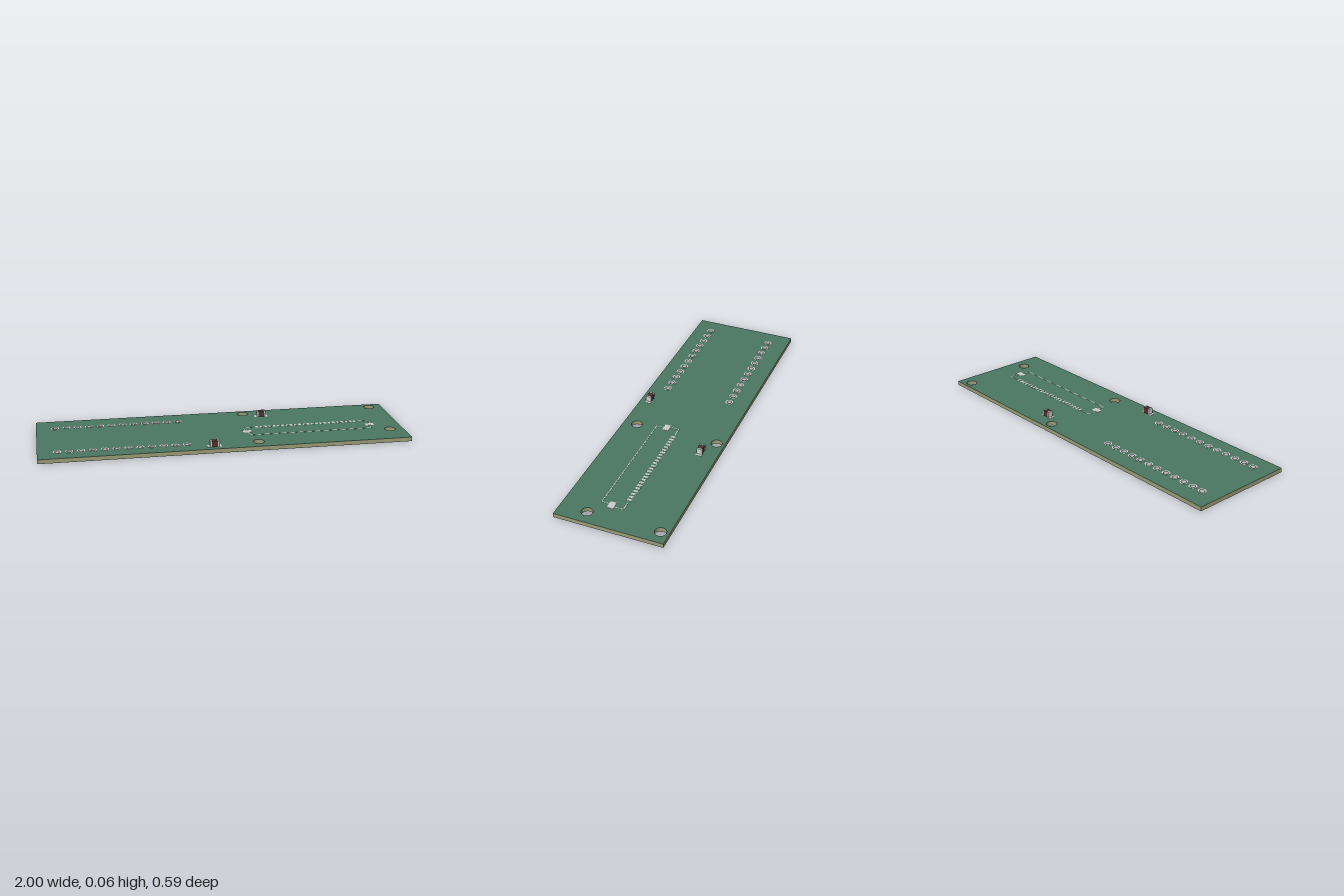
import * as THREE from 'three';

const MASK = new THREE.MeshStandardMaterial({ color: 0x4a7662 });
const CORE = new THREE.MeshStandardMaterial({ color: 0x9c9c78 });
const METAL = new THREE.MeshStandardMaterial({ color: 0xcccccc });
const SILK = new THREE.MeshStandardMaterial({ color: 0xd8d8d8 });
const CERAMIC = new THREE.MeshStandardMaterial({ color: 0x4a3430 });

const HALF_DEPTH = 0.293;
const BOTTOM = 0.002, TOP = 0.025, SKIN = 0.001;

// Mounting holes [x, z] and the two rows of header pads
const MOUNTS = [[0.17, -0.247], [0.925, -0.247], [0.17, 0.217], [0.925, 0.144]];
const MOUNT_R = 0.03, PAD_R = 0.022, DRILL_R = 0.014;
const PADS = [];
for (const z of [-0.177, 0.196]) {
  for (let i = 0; i < 12; i++) PADS.push([-0.896 + i * 0.062, z]);
}

function add(parent, name, geometry, material) {
  const mesh = new THREE.Mesh(geometry, material);
  mesh.name = name;
  parent.add(mesh);
  return mesh;
}

function group(parent, name) {
  const g = new THREE.Group();
  g.name = name;
  parent.add(g);
  return g;
}

function box(parent, name, material, w, h, d, x, y, z) {
  const mesh = add(parent, name, new THREE.BoxGeometry(w, h, d), material);
  mesh.position.set(x, y, z);
  return mesh;
}

function circlePath(x, z, r) {
  return new THREE.Path().absarc(x, -z, r, 0, Math.PI * 2, true);
}

// Extrude a plan shape upward from y = base
function slab(shape, base, height) {
  const geometry = new THREE.ExtrudeGeometry(shape, { depth: height, bevelEnabled: false, curveSegments: 14 });
  return geometry.rotateX(-Math.PI / 2).translate(0, base, 0);
}

function boardShape() {
  const s = new THREE.Shape();
  s.moveTo(-1, -HALF_DEPTH);
  s.lineTo(1, -HALF_DEPTH);
  s.lineTo(1, HALF_DEPTH);
  s.lineTo(-1, HALF_DEPTH);
  s.closePath();
  for (const [x, z] of MOUNTS) s.holes.push(circlePath(x, z, MOUNT_R));
  for (const [x, z] of PADS) s.holes.push(circlePath(x, z, DRILL_R + 0.001));
  return s;
}

// Printed line between two plan points, axis aligned
function printedLine(parent, x0, z0, x1, z1, y) {
  const t = 0.004;
  box(parent, 'printedLine', SILK, Math.abs(x1 - x0) + t, 0.0008, Math.abs(z1 - z0) + t,
    (x0 + x1) / 2, y, (z0 + z1) / 2);
}

function chipComponent(parent, x, z) {
  const g = group(parent, 'chipComponent');
  const h = 0.032, y = TOP + h / 2;
  box(g, 'ceramicBody', CERAMIC, 0.032, h - 0.001, 0.029, 0, y, 0);
  for (const side of [-1, 1]) {
    box(g, 'endCap', METAL, 0.008, h, 0.03, side * 0.02, y, 0);
    box(g, 'solderPad', METAL, 0.022, 0.001, 0.034, side * 0.027, TOP + 0.0005, 0);
  }
  g.position.set(x, 0, z);
}

export function createModel() {
  const model = new THREE.Group();
  model.name = 'circuitBoard';

  // Laminated board: core with a coloured skin on each face
  const board = group(model, 'board');
  const plan = boardShape();
  add(board, 'core', slab(plan, BOTTOM + SKIN, TOP - BOTTOM - 2 * SKIN), CORE);
  add(board, 'topMask', slab(plan, TOP - SKIN, SKIN), MASK);
  add(board, 'bottomMask', slab(plan, BOTTOM, SKIN), MASK);

  // Plated header holes: a ring on each face joined by a barrel
  const header = group(model, 'headerPads');
  const ring = new THREE.Shape().absarc(0, 0, PAD_R, 0, Math.PI * 2, false);
  ring.holes.push(circlePath(0, 0, DRILL_R));
  const barrel = new THREE.Shape().absarc(0, 0, DRILL_R + 0.001, 0, Math.PI * 2, false);
  barrel.holes.push(circlePath(0, 0, DRILL_R));
  const topRing = slab(ring, TOP, 0.0008);
  const bottomRing = slab(ring, BOTTOM - 0.0008, 0.0008);
  const sleeve = slab(barrel, BOTTOM, TOP - BOTTOM);
  for (const [x, z] of PADS) {
    add(header, 'topRing', topRing, METAL).position.set(x, 0, z);
    add(header, 'bottomRing', bottomRing, METAL).position.set(x, 0, z);
    add(header, 'platedBarrel', sleeve, METAL).position.set(x, 0, z);
  }

  // Ribbon connector footprint: contact row, anchor pads and outline
  const ribbon = group(model, 'ribbonFootprint');
  const cx = 0.487, lineY = TOP + 0.0004;
  for (let i = 0; i < 24; i++) {
    box(ribbon, 'contactPad', METAL, 0.014, 0.001, 0.024, cx + (i - 11.5) * 0.0244, TOP + 0.0005, -0.012);
  }
  for (const s of [-1, 1]) {
    box(ribbon, 'anchorPad', METAL, 0.048, 0.001, 0.033, cx + s * 0.348, TOP + 0.0005, 0.053);
    printedLine(ribbon, cx + s * 0.357, -0.013, cx + s * 0.305, -0.013, lineY);
    printedLine(ribbon, cx + s * 0.357, -0.013, cx + s * 0.357, 0.036, lineY);
    printedLine(ribbon, cx + s * 0.342, 0.07, cx + s * 0.342, 0.11, lineY);
  }
  printedLine(ribbon, cx - 0.342, 0.11, cx + 0.342, 0.11, lineY);

  // Module outline printed underneath, around the header rows
  const outline = group(model, 'undersideOutline');
  const x0 = -0.98, x1 = -0.19, z0 = -0.234, z1 = 0.253, under = BOTTOM - 0.0004;
  for (const z of [z0, z1]) printedLine(outline, x0, z, x1, z, under);
  for (const x of [x0, x1]) printedLine(outline, x, z0, x, z1, under);

  // Two small surface-mounted parts
  chipComponent(model, 0.267, -0.196);
  chipComponent(model, -0.075, 0.245);

  // Rest the lowest printed layer on the ground
  for (const child of model.children) child.position.y -= BOTTOM - 0.0008;
  return model;
}
